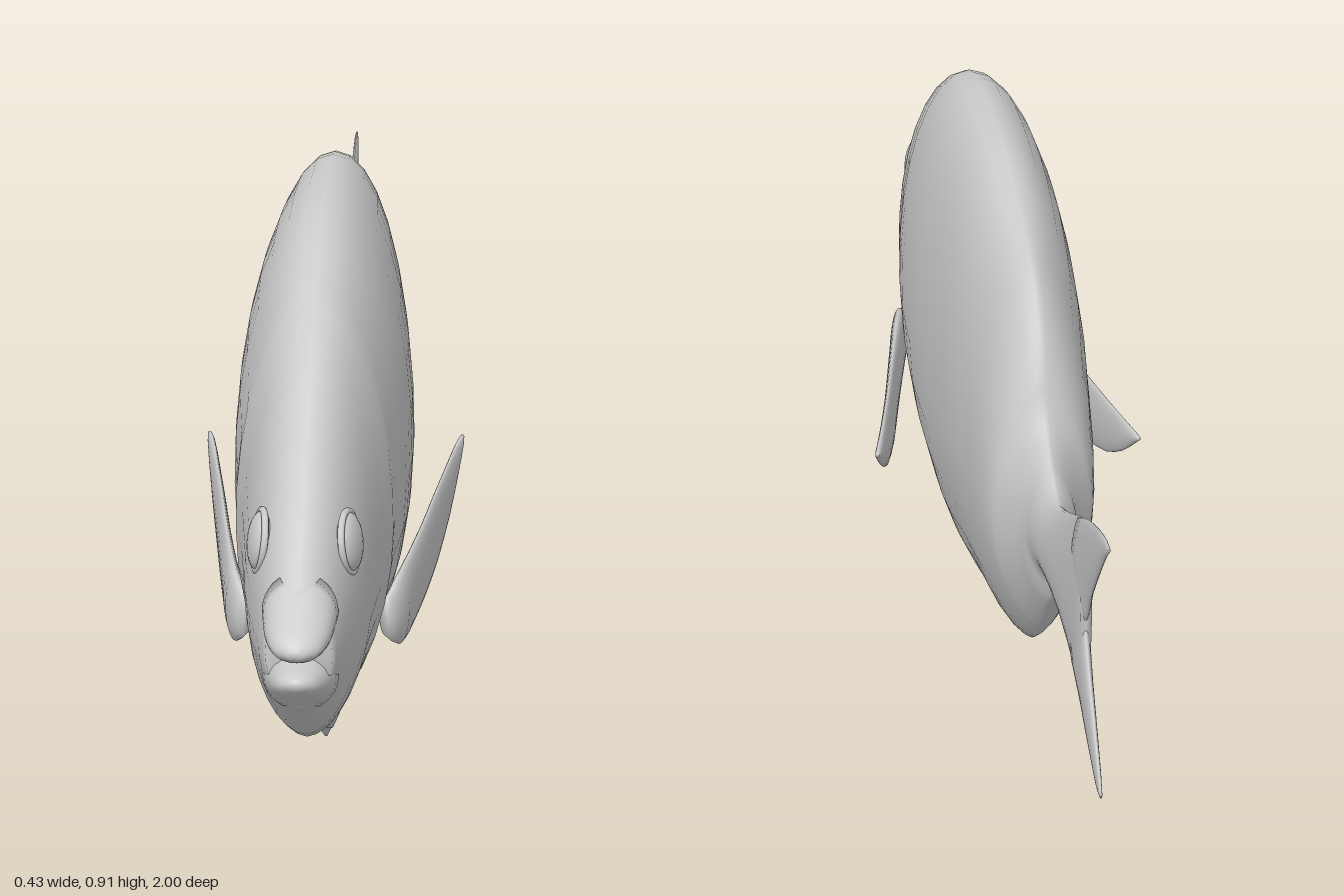
import * as THREE from 'three';

const SIDES = 32;
const material = new THREE.MeshStandardMaterial({ color: 0xcccccc, side: THREE.DoubleSide });

// Lofts rings along z. Station: [z, bottom, top, half width, centre x].
// sharp(z) gives the exponents that pinch the ring's top and bottom edges.
function loft(name, stations, steps = 2, sharp = () => [1, 1]) {
  const outline = new THREE.CatmullRomCurve3(
    stations.map(([z, lo, hi]) => new THREE.Vector3(z, lo, hi)), false, 'catmullrom', 0.4);
  const girth = new THREE.CatmullRomCurve3(
    stations.map(s => new THREE.Vector3(s[3], s[4] || 0, 0)), false, 'catmullrom', 0.4);
  const rings = (stations.length - 1) * steps;
  const positions = [], index = [], centres = [];
  for (let i = 0; i <= rings; i++) {
    const { x: z, y: lo, z: hi } = outline.getPoint(i / rings);
    const { x: half, y: cx } = girth.getPoint(i / rings);
    const mid = lo + (hi - lo) * 0.48;
    const [pTop, pBottom] = sharp(z);
    centres.push([cx, mid, z]);
    for (let j = 0; j < SIDES; j++) {
      const a = (j / SIDES) * Math.PI * 2, c = Math.cos(a), s = Math.sin(a);
      const w = Math.sign(c) * Math.abs(c) ** (s > 0 ? pTop : pBottom);
      positions.push(cx + half * w, mid + s * (s > 0 ? hi - mid : mid - lo), z);
    }
  }
  const at = (i, j) => i * SIDES + (j % SIDES);
  for (let i = 0; i < rings; i++)
    for (let j = 0; j < SIDES; j++)
      index.push(at(i, j), at(i + 1, j), at(i, j + 1), at(i, j + 1), at(i + 1, j), at(i + 1, j + 1));
  // end caps
  const first = (rings + 1) * SIDES;
  positions.push(...centres[0], ...centres[rings]);
  for (let j = 0; j < SIDES; j++) {
    index.push(first, at(0, j), at(0, j + 1));
    index.push(first + 1, at(rings, j + 1), at(rings, j));
  }
  const geometry = new THREE.BufferGeometry();
  geometry.setAttribute('position', new THREE.Float32BufferAttribute(positions, 3));
  geometry.setIndex(index);
  geometry.computeVertexNormals();
  return named(name, geometry);
}

function named(name, geometry) {
  const mesh = new THREE.Mesh(geometry, material);
  mesh.name = name;
  return mesh;
}

// Thin central fin under the belly, thick at the root and sharp at the tip
function pelvicFin() {
  const shape = new THREE.Shape([
    [0.44, 0.18], [0.4, 0.135], [0.35, 0.085], [0.31, 0.05], [0.27, 0.03], [0.235, 0.0],
    [0.23, 0.03], [0.212, 0.025], [0.222, 0.055], [0.208, 0.06], [0.22, 0.09], [0.2, 0.15],
  ].map(p => new THREE.Vector2(...p)));
  const geometry = new THREE.ExtrudeGeometry(shape, { depth: 1, bevelEnabled: false });
  geometry.translate(0, 0, -0.5).rotateY(-Math.PI / 2);
  const p = geometry.attributes.position;
  for (let i = 0; i < p.count; i++) p.setX(i, p.getX(i) * (0.004 + 0.5 * p.getY(i)));
  geometry.computeVertexNormals();
  return named('pelvicFin', geometry);
}

export function createModel() {
  const fish = new THREE.Group();
  fish.name = 'fish';

  // Body, running from behind the lips to the fork of the tail
  fish.add(loft('body', [
    [0.94, 0.378, 0.518, 0.043], [0.9, 0.345, 0.55, 0.055], [0.8, 0.268, 0.63, 0.075],
    [0.72, 0.228, 0.69, 0.088], [0.62, 0.195, 0.765, 0.1], [0.56, 0.18, 0.8, 0.113],
    [0.52, 0.17, 0.822, 0.115], [0.4, 0.14, 0.87, 0.128], [0.28, 0.112, 0.898, 0.135],
    [0.14, 0.098, 0.906, 0.136], [0, 0.095, 0.905, 0.129], [-0.1, 0.12, 0.89, 0.121],
    [-0.2, 0.155, 0.865, 0.112], [-0.3, 0.177, 0.838, 0.1], [-0.36, 0.203, 0.81, 0.093],
    [-0.41, 0.238, 0.762, 0.086], [-0.445, 0.272, 0.705, 0.078], [-0.46, 0.288, 0.665, 0.072],
    [-0.48, 0.312, 0.635, 0.062], [-0.515, 0.355, 0.613, 0.047], [-0.54, 0.39, 0.602, 0.04],
    [-0.555, 0.432, 0.596, 0.036], [-0.61, 0.442, 0.583, 0.027], [-0.7, 0.432, 0.622, 0.02],
    [-0.78, 0.411, 0.662, 0.014], [-0.845, 0.391, 0.694, 0.008],
  ], 2, z => {
    const rear = THREE.MathUtils.smoothstep(-z, 0.15, 0.45);
    const belly = THREE.MathUtils.smoothstep(-z, -0.9, -0.5);
    return [1 + 0.35 * rear, 1.05 + 0.35 * belly];
  }));

  // Jaws, leaving the mouth open between them
  fish.add(loft('upperJaw', [
    [0.9, 0.44, 0.545, 0.05], [0.95, 0.446, 0.513, 0.043],
    [0.985, 0.454, 0.49, 0.03], [1.0, 0.464, 0.476, 0.01],
  ], 3));
  fish.add(loft('lowerJaw', [
    [0.9, 0.35, 0.45, 0.05], [0.95, 0.383, 0.442, 0.038],
    [0.98, 0.404, 0.438, 0.026], [0.995, 0.42, 0.432, 0.01],
  ], 3));

  // Forked tail lobes
  fish.add(loft('upperTailLobe', [
    [-0.78, 0.5, 0.661, 0.011], [-0.84, 0.53, 0.692, 0.009], [-0.87, 0.585, 0.705, 0.008],
    [-0.93, 0.66, 0.728, 0.006], [-0.975, 0.712, 0.74, 0.004], [-1.0, 0.735, 0.741, 0.002],
  ]));
  fish.add(loft('lowerTailLobe', [
    [-0.78, 0.412, 0.56, 0.011], [-0.84, 0.392, 0.53, 0.009], [-0.87, 0.381, 0.484, 0.008],
    [-0.92, 0.362, 0.428, 0.006], [-0.96, 0.347, 0.385, 0.004], [-0.982, 0.348, 0.358, 0.002],
  ]));

  fish.add(pelvicFin());

  for (const [side, s] of [['left', 1], ['right', -1]]) {
    // Pectoral fin, sweeping back and away from the flank
    fish.add(loft(side + 'PectoralFin', [
      [0.53, 0.3, 0.36, 0.012, s * 0.105], [0.49, 0.272, 0.384, 0.015, s * 0.121],
      [0.4, 0.264, 0.386, 0.013, s * 0.136], [0.28, 0.262, 0.388, 0.011, s * 0.154],
      [0.16, 0.27, 0.393, 0.01, s * 0.171], [0.05, 0.3, 0.399, 0.009, s * 0.188],
      [-0.03, 0.344, 0.404, 0.008, s * 0.201], [-0.08, 0.383, 0.406, 0.006, s * 0.21],
      [-0.1, 0.399, 0.405, 0.003, s * 0.214],
    ]));

    // Eye with a low rim
    const eye = new THREE.Group();
    eye.name = side + 'Eye';
    eye.position.set(s * 0.06, 0.55, 0.8);
    eye.rotation.set(0, s * -0.2, s * 0.15);
    const ball = named('eyeball', new THREE.SphereGeometry(0.04, 24, 16));
    ball.scale.x = 0.4;
    const rim = named('eyeRim', new THREE.TorusGeometry(0.041, 0.005, 8, 28).rotateY(Math.PI / 2));
    eye.add(ball, rim);
    fish.add(eye);
  }
  return fish;
}
